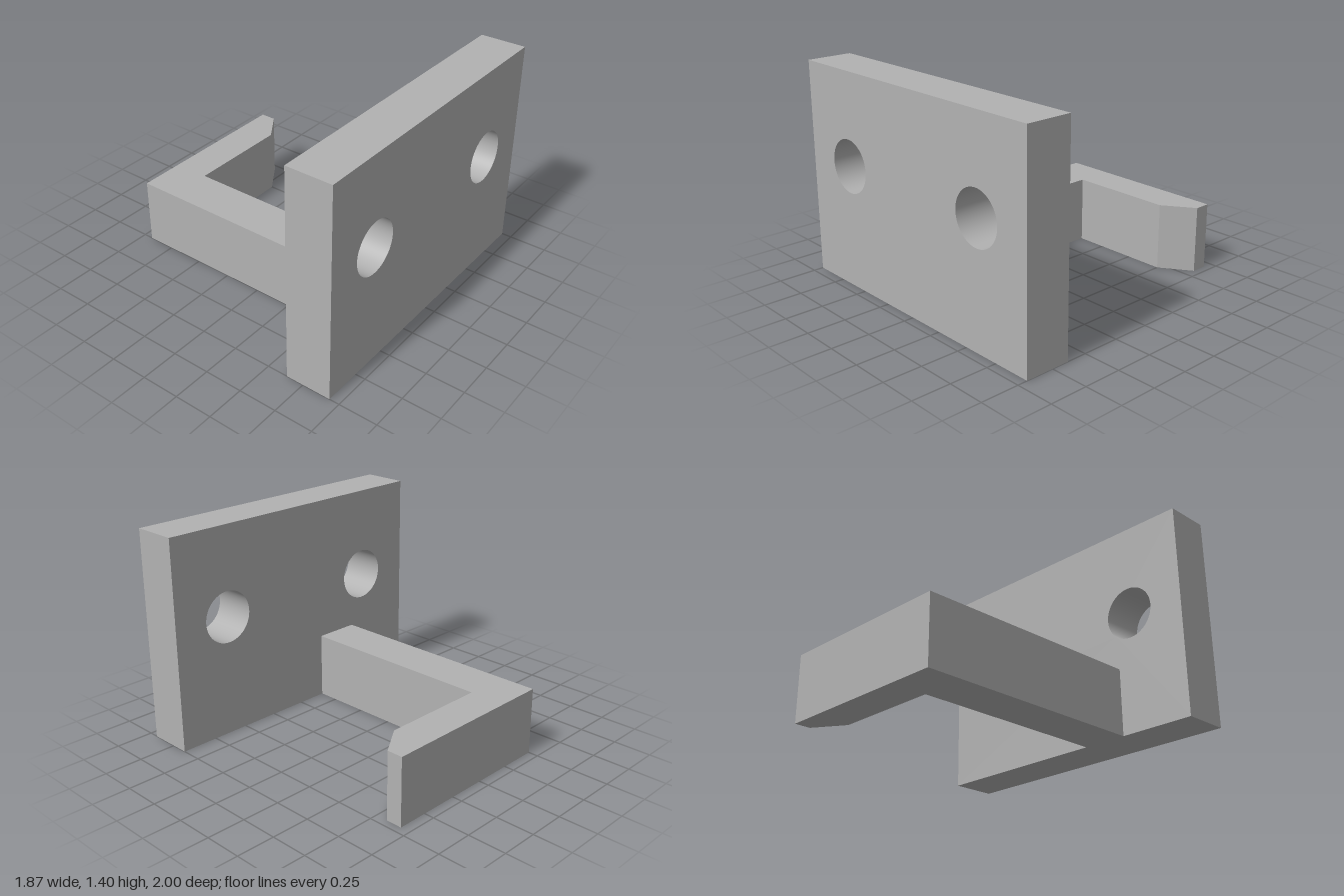
import * as THREE from 'three';
import { toCreasedNormals } from 'three/addons/utils/BufferGeometryUtils.js';

const PLATE = { inner: 0.635, thickness: 0.3, width: 2, height: 1.4 };
const HOLE = { z: 0.6, y: 0.8, radius: 0.172 };
const ARM_HEIGHT = 0.44;

const extrude = (shape, depth) =>
  new THREE.ExtrudeGeometry(shape, { depth, bevelEnabled: false, curveSegments: 48 });

export function createModel() {
  const group = new THREE.Group();
  group.name = 'wallHook';
  const grey = new THREE.MeshStandardMaterial({ color: 0xb2b2b2 });
  grey.name = 'grey';

  const add = (name, geometry) => {
    const mesh = new THREE.Mesh(toCreasedNormals(geometry, 0.5), grey);
    mesh.name = name;
    group.add(mesh);
  };

  // Mounting plate with two screw holes, drawn across z and y
  const w = PLATE.width / 2;
  const plate = new THREE.Shape([
    new THREE.Vector2(-w, 0), new THREE.Vector2(w, 0),
    new THREE.Vector2(w, PLATE.height), new THREE.Vector2(-w, PLATE.height),
  ]);
  for (const side of [-1, 1]) {
    plate.holes.push(new THREE.Path().absarc(side * HOLE.z, HOLE.y, HOLE.radius, 0, Math.PI * 2, true));
  }
  add('mountingPlate', extrude(plate, PLATE.thickness).rotateY(Math.PI / 2).translate(PLATE.inner, 0, 0));

  // L-shaped hook arm with a chamfered tip, outlined in x and z
  const outline = [
    [PLATE.inner, 0.5], [PLATE.inner, 0.2], [-0.695, 0.2], [-0.695, -0.5],
    [-0.83, -0.7], [-0.935, -0.7], [-0.935, 0.5],
  ];
  const arm = new THREE.Shape(outline.map(([x, z]) => new THREE.Vector2(x, -z)));
  add('hookArm', extrude(arm, ARM_HEIGHT).rotateX(-Math.PI / 2));

  return group;
}
